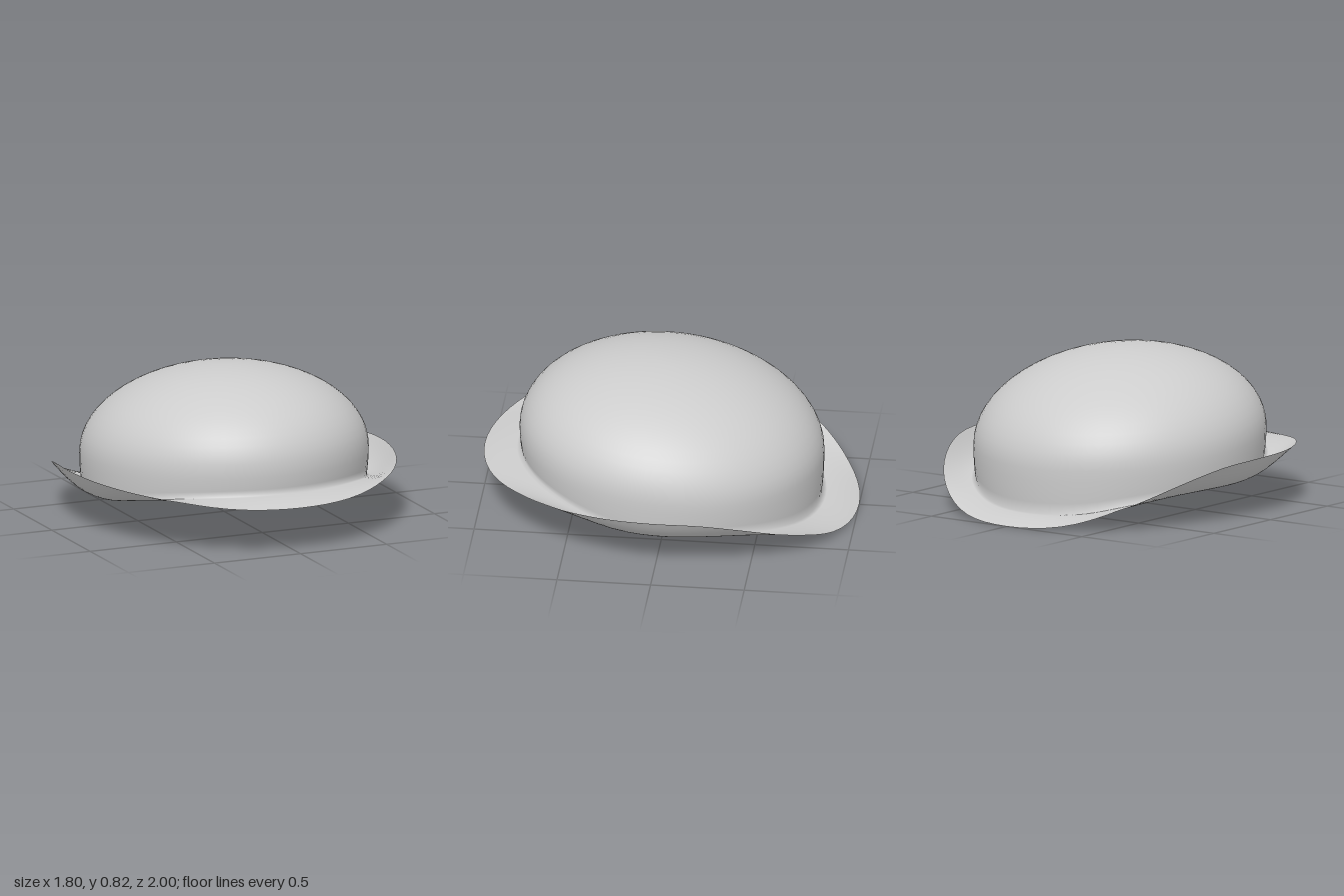
import * as THREE from 'three';

const SEG = 72;    // steps around the hat
const DOME = 16;   // rings from apex to the widest line
const WALL = 4;    // rings from the widest line to the brim
const BRIM = 8;    // rings across the brim

// Smooth height along the hat: samples run evenly from back (-1) to front (+1)
function heightCurve(samples) {
  const step = 2 / (samples.length - 1);
  const curve = new THREE.SplineCurve(samples.map((y, i) => new THREE.Vector2(-1 + i * step, y)));
  return (c) => curve.getPoint((c + 1) / 2).y;
}
const baseHeight = heightCurve([0.045, 0.105, 0.145, 0.16, 0.165, 0.18, 0.22, 0.26, 0.283]);
const edgeHeight = heightCurve([0, 0.125, 0.235, 0.3, 0.315, 0.312, 0.302, 0.284, 0.25]);

// Crown: a tilted half ellipsoid over a slightly tapering wall
function domePoint(t, s, c) {
  const a = (1 - t) * Math.PI / 2;
  const r = Math.cos(a);
  const z = 0.81 * r * c;
  return [0.76 * r * s, 0.35 + 0.08 * z + 0.47 * Math.sin(a), z];
}
function wallPoint(t, s, c) {
  const k = 1 - 0.015 * t * t;
  const top = 0.35 + 0.065 * c;
  return [0.76 * k * s, THREE.MathUtils.lerp(top, baseHeight(c), t), 0.81 * k * c];
}

// Brim: curls up at the sides and dips at front and back
function brimPoint(t, s, c) {
  const { lerp } = THREE.MathUtils;
  const y = lerp(baseHeight(c), edgeHeight(c), 0.15 * t + 0.85 * t * t);
  return [lerp(0.7486, 0.9, t) * s, y, lerp(0.798, 1, t) * c];
}

export function createModel() {
  const positions = [];
  const addRing = (fn, t) => {
    for (let j = 0; j < SEG; j++) {
      const a = (j / SEG) * Math.PI * 2;
      positions.push(...fn(t, Math.sin(a), Math.cos(a)));
    }
  };
  for (let i = 0; i <= DOME; i++) addRing(domePoint, i / DOME);
  for (let i = 1; i <= WALL; i++) addRing(wallPoint, i / WALL);
  for (let i = 1; i <= BRIM; i++) addRing(brimPoint, i / BRIM);

  const facesBetween = (from, to) => {
    const index = [];
    for (let i = from; i < to; i++) {
      for (let j = 0; j < SEG; j++) {
        const k = (j + 1) % SEG;
        const a = i * SEG + j, b = a + SEG, c = (i + 1) * SEG + k, d = i * SEG + k;
        index.push(a, b, c);
        if (i > 0) index.push(a, c, d);
      }
    }
    return index;
  };

  // Normals are shared so the crown flows softly into the brim
  const join = DOME + WALL, last = join + BRIM;
  const whole = new THREE.BufferGeometry();
  whole.setAttribute('position', new THREE.Float32BufferAttribute(positions, 3));
  whole.setIndex(facesBetween(0, last));
  whole.computeVertexNormals();
  for (let j = 0; j < SEG; j++) whole.attributes.normal.setXYZ(j, 0, 0.99, -0.1);
  whole.normalizeNormals();

  const felt = new THREE.MeshStandardMaterial({ color: 0xcccccc, side: THREE.DoubleSide });
  felt.name = 'light grey felt';

  const hat = new THREE.Group();
  hat.name = 'hat';
  for (const [name, from, to] of [['crown', 0, join], ['brim', join, last]]) {
    const part = whole.clone();
    part.setIndex(facesBetween(from, to));
    const mesh = new THREE.Mesh(part, felt);
    mesh.name = name;
    hat.add(mesh);
  }
  return hat;
}
